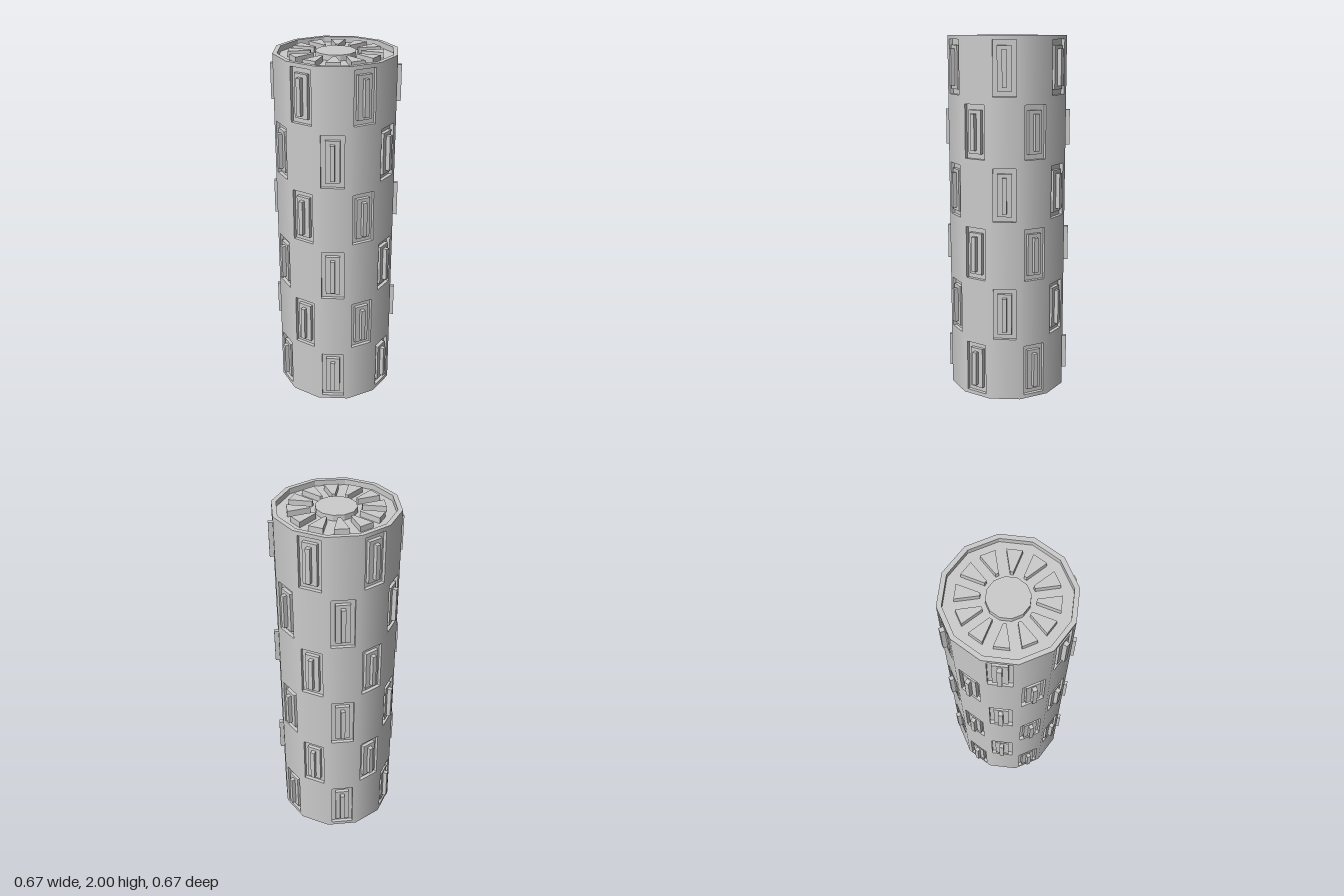
import * as THREE from 'three';

const SIDES = 12, ROWS = 6, R = 0.333;
const STEP = (Math.PI * 2) / SIDES;
const APOTHEM = R * Math.cos(STEP / 2);
const FACE_W = 2 * R * Math.sin(STEP / 2);
const ROW_H = 2 / ROWS;
const GROOVE = 0.02; // depth of the channel around each panel
const WELL = 0.03; // depth of the recessed top

const smooth = new THREE.MeshStandardMaterial({ color: 0xcccccc });
const flat = new THREE.MeshStandardMaterial({ color: 0xcccccc, flatShading: true });
const inside = new THREE.MeshStandardMaterial({ color: 0xcccccc, flatShading: true, side: THREE.BackSide });

function add(parent, name, geometry, material = flat) {
  const mesh = new THREE.Mesh(geometry, material);
  mesh.name = name;
  parent.add(mesh);
  return mesh;
}

function rectPoints(w, h) {
  return [[-w / 2, -h / 2], [w / 2, -h / 2], [w / 2, h / 2], [-w / 2, h / 2]].map(([x, y]) => new THREE.Vector2(x, y));
}

function polygonPoints(radius) {
  return Array.from({ length: SIDES }, (_, i) =>
    new THREE.Vector2(radius * Math.cos(i * STEP), radius * Math.sin(i * STEP)));
}

// Outward faces take radial normals so the wall shades as a round drum
function roundNormals(geometry) {
  const p = geometry.attributes.position, n = geometry.attributes.normal;
  for (let i = 0; i < p.count; i++) {
    if (n.getZ(i) < 0.9) continue;
    const len = Math.hypot(p.getX(i), p.getZ(i));
    n.setXYZ(i, p.getX(i) / len, 0, p.getZ(i) / len);
  }
  return geometry;
}

export function createModel() {
  const model = new THREE.Group();
  model.name = 'panelledColumn';

  // Wall pieces, each facing +z at the apothem
  const plainGeo = roundNormals(new THREE.PlaneGeometry(FACE_W, ROW_H).translate(0, 0, APOTHEM));
  const frameShape = new THREE.Shape(rectPoints(FACE_W, ROW_H));
  frameShape.holes.push(new THREE.Path(rectPoints(0.124, 0.29)));
  const frameGeo = roundNormals(new THREE.ExtrudeGeometry(frameShape, { depth: GROOVE, bevelEnabled: false })
    .translate(0, 0, APOTHEM - GROOVE));
  const floorGeo = new THREE.PlaneGeometry(0.13, 0.296).translate(0, 0, APOTHEM - GROOVE);
  const panelGeo = new THREE.BoxGeometry(0.078, 0.232, GROOVE).translate(0, 0, APOTHEM - GROOVE / 2);
  const barGeo = new THREE.BoxGeometry(0.024, 0.195, 0.03).translate(0, 0, 0.345 - 0.015);

  // Staggered rows: panelled and plain faces alternate
  for (let row = 0; row < ROWS; row++) {
    const ring = new THREE.Group();
    ring.name = 'wallRow' + (row + 1);
    ring.position.y = (row + 0.5) * ROW_H;
    for (let i = 0; i < SIDES; i++) {
      const face = new THREE.Group();
      face.rotation.y = (i + 0.5) * STEP;
      ring.add(face);
      if ((i + row) % 2 === 0) {
        face.name = 'plainFace';
        add(face, 'wall', plainGeo, smooth);
      } else {
        face.name = 'panelledFace';
        add(face, 'wallFrame', frameGeo, smooth);
        add(face, 'grooveFloor', floorGeo);
        add(face, 'panel', panelGeo);
        add(face, 'raisedBar', barGeo);
      }
    }
    model.add(ring);
  }

  // Bottom cap
  add(model, 'bottomCap', new THREE.CircleGeometry(R, SIDES).rotateX(Math.PI / 2));

  // Top rim around a shallow well
  const rimShape = new THREE.Shape(polygonPoints(R));
  rimShape.holes.push(new THREE.Path(polygonPoints(0.308)));
  add(model, 'topRim', new THREE.ShapeGeometry(rimShape).rotateX(-Math.PI / 2)).position.y = 2;
  add(model, 'wellWall', new THREE.CylinderGeometry(0.308, 0.308, WELL, SIDES, 1, true), inside).position.y = 2 - WELL / 2;
  add(model, 'wellFloor', new THREE.CircleGeometry(0.308, SIDES).rotateX(-Math.PI / 2)).position.y = 2 - WELL;

  // Hub and the ring of wedges around it
  add(model, 'hub', new THREE.CylinderGeometry(0.108, 0.108, WELL, SIDES)).position.y = 2 - WELL / 2;
  const wedgeShape = new THREE.Shape([[0.131, -0.008], [0.248, -0.039], [0.248, 0.039], [0.131, 0.008]]
    .map(([x, y]) => new THREE.Vector2(x, y)));
  const wedgeGeo = new THREE.ExtrudeGeometry(wedgeShape, { depth: WELL, bevelEnabled: false }).rotateX(-Math.PI / 2);
  for (let i = 0; i < SIDES; i++) {
    const wedge = add(model, 'wedge', wedgeGeo);
    wedge.position.y = 2 - WELL;
    wedge.rotation.y = (i + 0.5) * STEP;
  }
  return model;
}
